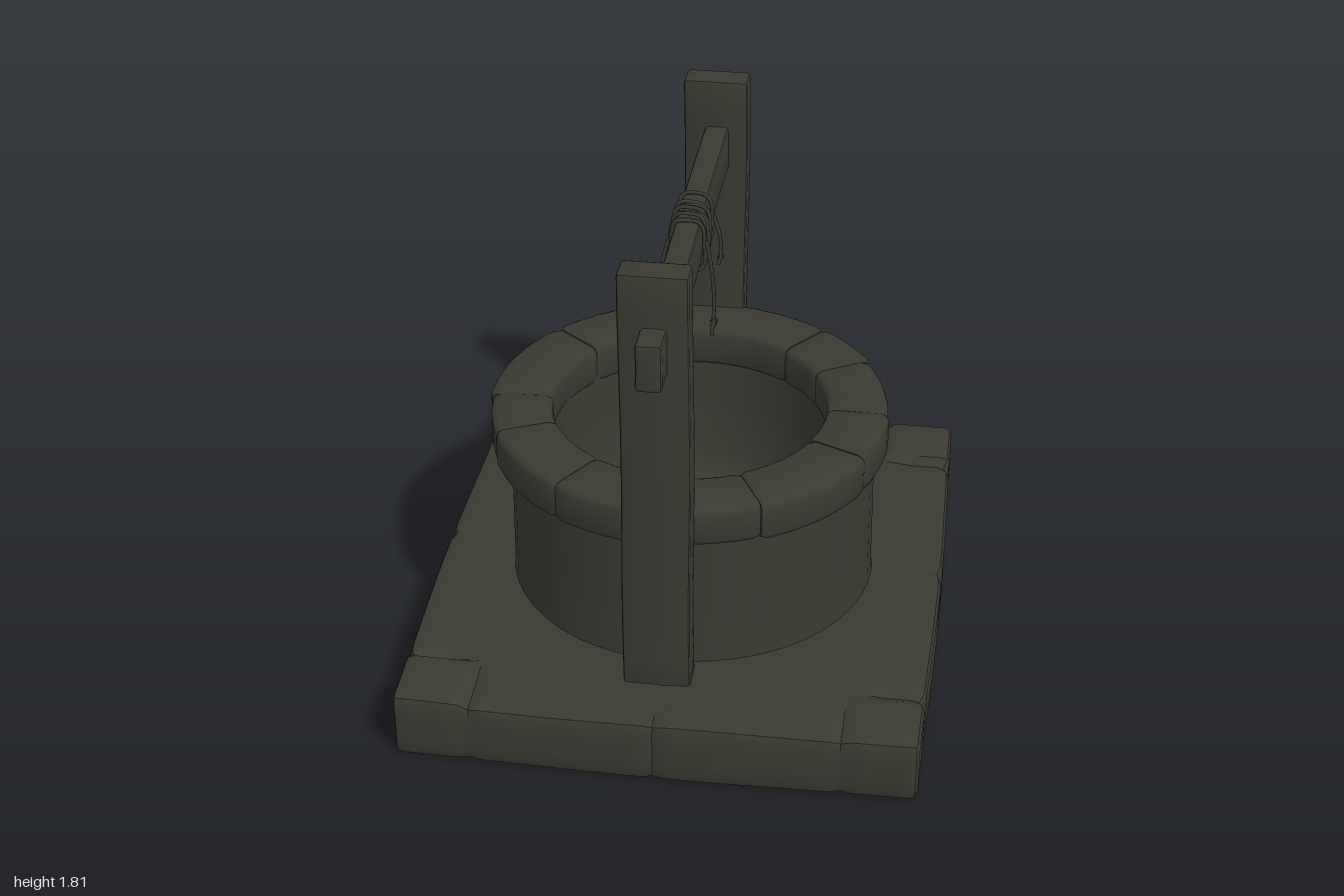
import * as THREE from 'three';
import { mergeVertices, toCreasedNormals } from 'three/addons/utils/BufferGeometryUtils.js';

const { sin, cos, abs, max, min, sign, PI } = Math;
const weathered = new THREE.MeshStandardMaterial({ color: 0x3b3a32 });
weathered.name = 'weathered stone and wood';

// smooth shading that still respects sharp edges
function soften(geo, crease = 0.6) {
  geo.deleteAttribute('uv');
  geo.deleteAttribute('normal');
  return toCreasedNormals(mergeVertices(geo, 1e-4), crease);
}

function addMesh(parent, name, geo) {
  const m = new THREE.Mesh(geo, weathered);
  m.name = name;
  parent.add(m);
  return m;
}

// box with worn edges of radius r, then bent by warp(v)
function wornBox(size, segs, r, warp) {
  const geo = new THREE.BoxGeometry(...size, ...segs);
  const p = geo.attributes.position, v = new THREE.Vector3(), inner = new THREE.Vector3();
  for (let i = 0; i < p.count; i++) {
    v.fromBufferAttribute(p, i);
    for (let k = 0; k < 3; k++) {
      const h = size[k] / 2, n = segs[k];
      const id = Math.round((v.getComponent(k) / size[k] + 0.5) * n);
      const c = id === 0 ? -h : id === n ? h : -h + r + (2 * h - 2 * r) * (id - 1) / (n - 2);
      v.setComponent(k, c);
      inner.setComponent(k, max(-h + r, min(h - r, c)));
    }
    const off = v.clone().sub(inner);
    if (off.lengthSq() > 1e-10) v.copy(inner).addScaledVector(off.normalize(), r);
    warp(v);
    p.setXYZ(i, v.x, v.y, v.z);
  }
  return soften(geo);
}

const dent = (d, w) => max(0, 1 - abs(d) / w);

// paving slab: raised corner stones, grooves and a notch in the middle of each side
function baseGeometry() {
  return wornBox([1.79, 0.236, 1.98], [60, 5, 66], 0.03, v => {
    const { x, z } = v;
    const ax = abs(x), az = abs(z);
    const edgeX = max(0, ax - 0.6) / 0.3, edgeZ = max(0, az - 0.7) / 0.3;
    const groove = max(
      dent(ax - 0.63, 0.035) * min(1, edgeZ * 2),
      dent(az - 0.72, 0.035) * min(1, edgeX * 2),
      dent(z + 0.02, 0.035) * edgeX,
      dent(x, 0.035) * edgeZ);
    if (v.y > 0.05) {
      v.y += 0.004 * sin(x * 5 + 1) + 0.004 * sin(z * 4) - 0.014 * groove;
      if (ax > 0.63 && az > 0.72) v.y += x * z < 0 ? 0.014 : 0.005;
    }
    v.x += sign(x) * (0.008 * cos(z * 3) * (ax > 0.8 ? 1 : 0) - (ax > 0.85 ? 0.014 * groove : 0));
    v.z += sign(z) * (az > 0.9 ? 0.008 * cos(x * 3.4) - 0.012 * groove : 0);
  });
}

// one curved rim stone swept between two angles
function rimStone(a0, a1, outer, top) {
  const r0 = 0.48, y0 = 0.752, b = 0.022;
  const profile = [
    [r0 + b, y0], [outer - b, y0], [outer - b * 0.3, y0 + b * 0.3], [outer, y0 + b],
    [outer, top - b], [outer - b * 0.3, top - b * 0.3], [outer - b, top],
    [r0 + b, top], [r0 + b * 0.3, top - b * 0.3], [r0, top - b], [r0, y0 + b], [r0 + b * 0.3, y0 + b * 0.3]];
  const n = profile.length, steps = 8, pos = [], idx = [];
  const rc = (r0 + outer) / 2, yc = (y0 + top) / 2;
  for (let s = 0; s <= steps; s++) {
    const t = s === 0 ? 0 : s === steps ? 1 : 0.06 + 0.88 * (s - 1) / (steps - 2);
    const a = a0 + (a1 - a0) * t, k = s % steps ? 1 : 0.93;
    for (const [r, y] of profile) {
      const rr = rc + (r - rc) * k;
      pos.push(rr * cos(a), yc + (y - yc) * k, rr * sin(a));
    }
  }
  for (let s = 0; s < steps; s++) for (let i = 0; i < n; i++) {
    const a = s * n + i, c = s * n + (i + 1) % n;
    idx.push(a, a + n, c, c, a + n, c + n);
  }
  // end caps
  for (const [ring, flip] of [[0, false], [steps * n, true]]) {
    for (let i = 1; i < n - 1; i++) {
      idx.push(ring, ring + (flip ? i + 1 : i), ring + (flip ? i : i + 1));
    }
  }
  // keep every face outward: test the signed volume once
  let vol = 0;
  const A = new THREE.Vector3(), B = new THREE.Vector3(), C = new THREE.Vector3();
  for (let i = 0; i < idx.length; i += 3) {
    A.fromArray(pos, idx[i] * 3); B.fromArray(pos, idx[i + 1] * 3); C.fromArray(pos, idx[i + 2] * 3);
    vol += A.dot(B.cross(C));
  }
  if (vol < 0) idx.reverse();
  const geo = new THREE.BufferGeometry();
  geo.setAttribute('position', new THREE.Float32BufferAttribute(pos, 3));
  geo.setIndex(idx);
  return toCreasedNormals(geo, 0.8);
}

// point on a rounded rectangle around the beam
function aroundBeam(a, z, grow = 0) {
  const sq = v => sign(v) * abs(v) ** 0.55;
  return new THREE.Vector3(-0.012 + (0.058 + grow) * sq(cos(a)), 1.54 + (0.094 + grow) * sq(sin(a)), z);
}

function rope(parent, name, points, radius = 0.007) {
  const curve = new THREE.CatmullRomCurve3(points);
  addMesh(parent, name, new THREE.TubeGeometry(curve, points.length * 3, radius, 6));
}

export function createModel() {
  const well = new THREE.Group();
  well.name = 'well';

  addMesh(well, 'baseSlab', baseGeometry()).position.y = 0.12;

  // wall with hollow shaft and floor
  const wall = [[0.652, 0.2], [0.645, 0.27], [0.643, 0.5], [0.64, 0.78]].map(p => new THREE.Vector2(...p));
  addMesh(well, 'outerWall', new THREE.LatheGeometry(wall, 48));
  const shaft = [[0.5, 0.85], [0.49, 0.6], [0.48, 0.36], [0.42, 0.28], [0.25, 0.25], [0, 0.245]].map(p => new THREE.Vector2(...p));
  addMesh(well, 'innerShaft', new THREE.LatheGeometry(shaft, 48));

  // rim of uneven stones
  const rim = new THREE.Group();
  rim.name = 'rim';
  rim.position.x = -0.012;
  const joints = [0, 24, 62, 97, 122, 155, 176, 218, 258, 307, 329, 360];
  for (let i = 0; i < joints.length - 1; i++) {
    const outer = 0.7 + 0.007 * sin(i * 2.3), top = 0.897 + 0.004 * cos(i * 1.7);
    addMesh(rim, 'rimStone', rimStone(joints[i] * PI / 180, joints[i + 1] * PI / 180, outer, top));
  }
  well.add(rim);

  // two posts, slightly thicker towards the foot
  for (const [name, z, s] of [['frontPost', 0.728, 1], ['backPost', -0.712, -1]]) {
    const geo = wornBox([0.228, 1.6, 0.105], [4, 16, 4], 0.014, v => {
      const low = max(0, -v.y) / 0.8;
      v.x += 0.003 * sin(v.y * 5 + s);
      if (v.z * s < 0) v.z -= s * 0.016 * min(1, low * 2);
      v.z += 0.004 * s * sin(v.y * 4 + 1);
    });
    addMesh(well, name, geo).position.set(-0.015, 1.012, z);
  }

  // sagging cross beam with chipped ends
  const beam = wornBox([0.086, 0.17, 1.755], [4, 4, 30], 0.015, v => {
    v.y -= 0.012 * cos(v.z * 1.9) - 0.004 * sin(v.z * 7);
    if (abs(v.z) > 0.84) v.z -= sign(v.z) * 0.015 * dent(v.y - 0.01, 0.05);
    v.x += 0.003 * sin(v.z * 6);
  });
  addMesh(well, 'crossBeam', beam).position.set(-0.012, 1.55, 0.02);

  // rope coils
  const coil = [], turns = 7, per = 16;
  for (let i = 0; i <= turns * per; i++) {
    const t = i / per;
    coil.push(aroundBeam(t * 2 * PI, 0.075 - 0.17 * t / turns, 0.005 * sin(t * 9)));
  }
  rope(well, 'ropeCoil', coil);
  const loop = [];
  for (let i = 0; i <= per; i++) loop.push(aroundBeam(i / per * 2 * PI, -0.138 + 0.006 * sin(i)));
  rope(well, 'ropeLoop', loop);

  // hanging ends with frayed tips
  const ends = [['longRopeEnd', 0.075, 0.072, 1.21], ['shortRopeEnd', -0.095, 0.07, 1.3], ['looseRopeEnd', 0.07, -0.14, 1.37]];
  for (const [name, x, z, y] of ends) {
    const drop = 1.54 - y, pt = (dx, f, dz) => new THREE.Vector3(x + dx, 1.54 - drop * f, z + dz);
    rope(well, name, [pt(-sign(x) * 0.02, -0.1, 0), pt(0, 0.3, 0.003), pt(0.006, 0.65, 0), pt(0, 1, 0.008)]);
    rope(well, name + 'Fray', [pt(0.005, 0.78, 0), pt(0.012, 0.86, -0.014), pt(0.004, 0.93, -0.008)], 0.005);
    rope(well, name + 'Knot', [pt(-0.006, 0.8, 0.004), pt(0.004, 0.84, -0.004), pt(0, 0.9, 0.004)], 0.01);
  }
  return well;
}
